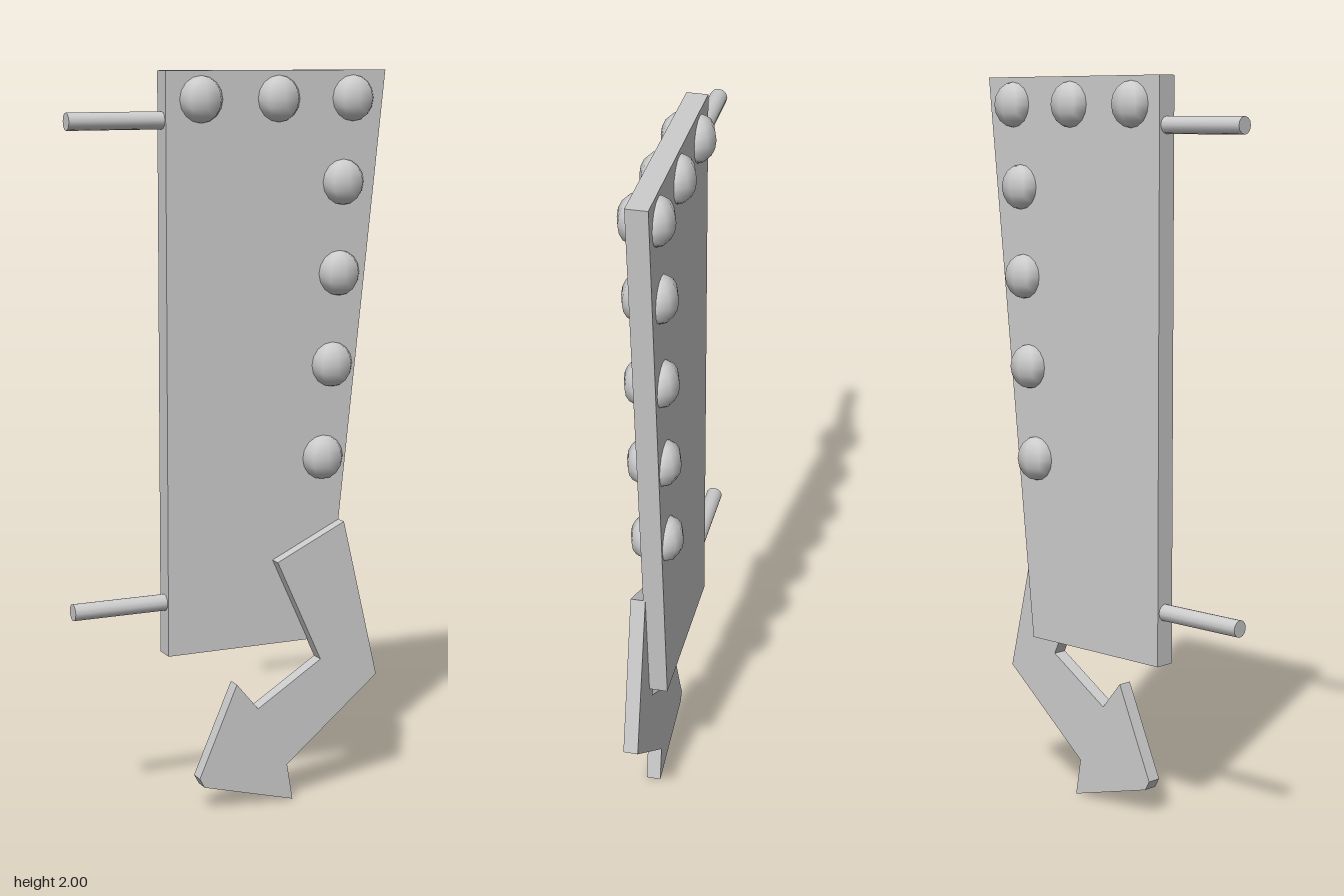
import * as THREE from 'three';

const grey = new THREE.MeshStandardMaterial({ color: 0xcccccc });
grey.name = 'light grey';

// Flat plate cut from an outline, spanning z0 to z1
function plate(name, points, z0, z1) {
  const shape = new THREE.Shape(points.map(([x, y]) => new THREE.Vector2(x, y)));
  const geometry = new THREE.ExtrudeGeometry(shape, { depth: z1 - z0, bevelEnabled: false });
  geometry.translate(0, 0, z0);
  const mesh = new THREE.Mesh(geometry, grey);
  mesh.name = name;
  return mesh;
}

export function createModel() {
  const model = new THREE.Group();
  model.name = 'arrowSign';
  const back = -0.03, front = 0.026;

  // Tapered sign board
  model.add(plate('signBoard',
    [[-0.19, 0.445], [0.285, 0.445], [0.448, 2], [-0.19, 2]], back, front));

  // Bent arrow hanging off the lower front corner
  model.add(plate('bentArrow', [
    [0.119, 0.682], [0.251, 0.394], [0.061, 0.275], [-0.003, 0.352], [-0.114, 0.098],
    [-0.1, 0.072], [0.167, 0], [0.15, 0.103], [0.426, 0.33], [0.32, 0.778],
  ], 0.02, 0.06));

  // Flattened bulbs along the top and the slanted edge, on both faces
  const bulbGeometry = new THREE.SphereGeometry(0.061, 8, 8);
  bulbGeometry.scale(1, 1, 0.7);
  const bulbs = new THREE.Group();
  bulbs.name = 'bulbs';
  const spots = [[-0.09, 1.926], [0.133, 1.926], [0.352, 1.926],
    [0.325, 1.704], [0.315, 1.46], [0.296, 1.212], [0.27, 0.957]];
  for (const [x, y] of spots) {
    for (const z of [back, front]) {
      const bulb = new THREE.Mesh(bulbGeometry, grey);
      bulb.name = z > 0 ? 'frontBulb' : 'backBulb';
      bulb.position.set(x, y, z);
      bulbs.add(bulb);
    }
  }
  model.add(bulbs);

  // Wall mounting rods
  const rodGeometry = new THREE.CylinderGeometry(0.023, 0.023, 0.265, 12);
  rodGeometry.rotateZ(Math.PI / 2);
  for (const [name, y] of [['upperRod', 1.873], ['lowerRod', 0.59]]) {
    const rod = new THREE.Mesh(rodGeometry, grey);
    rod.name = name;
    rod.position.set(-0.3195, y, -0.002);
    model.add(rod);
  }
  return model;
}
